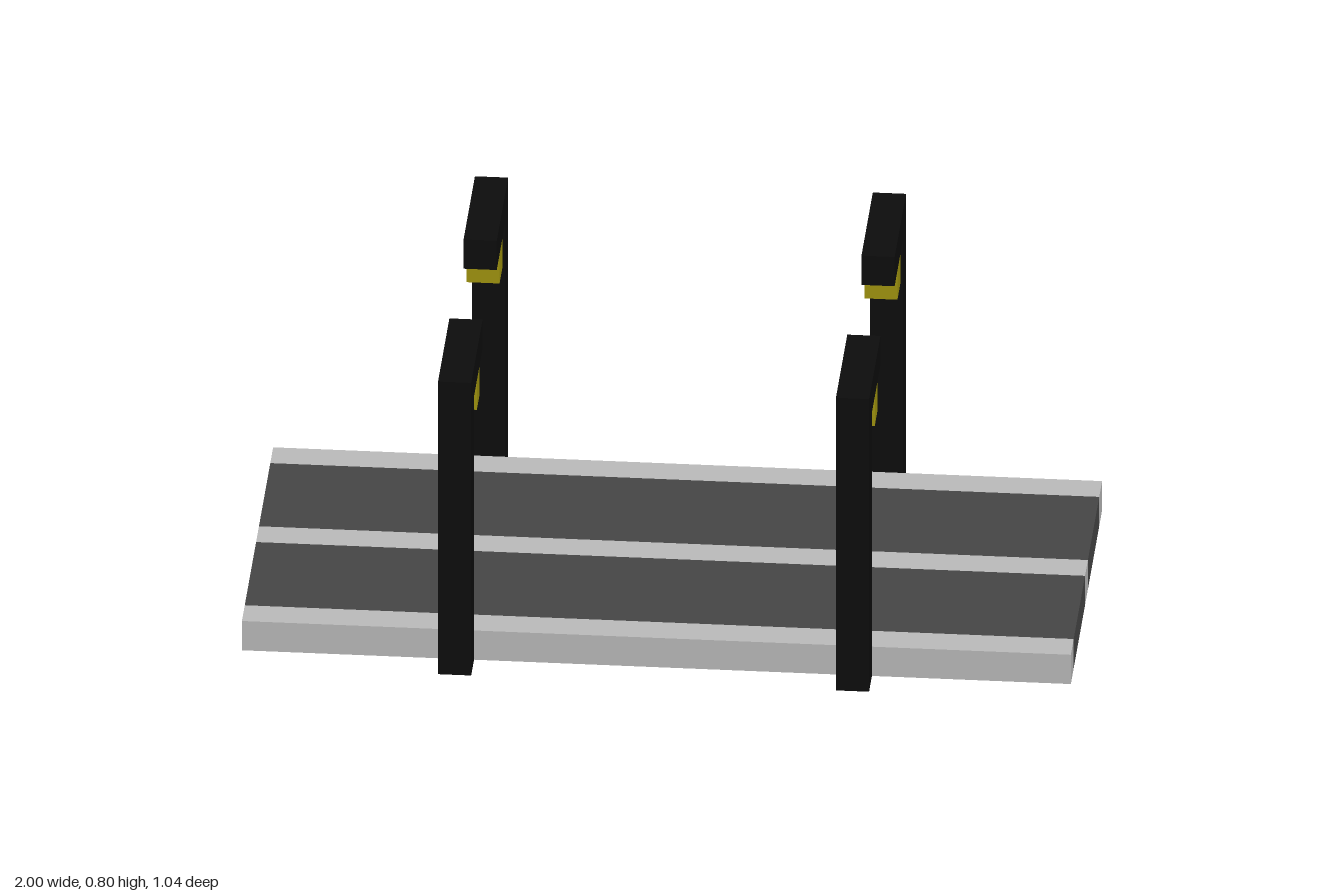
import * as THREE from 'three';

export function createModel() {
  const material = (name, color) => {
    const m = new THREE.MeshStandardMaterial({ color });
    m.name = name;
    return m;
  };
  const asphalt = material('asphalt', 0x464646);
  const concrete = material('pale concrete', 0xbcbcbc);
  const metal = material('black metal', 0x0d0d0d);
  const glow = material('lamp yellow', 0xa3970f);

  // Box given by its lower and upper corners
  const box = (parent, name, mat, [x0, y0, z0], [x1, y1, z1]) => {
    const mesh = new THREE.Mesh(new THREE.BoxGeometry(x1 - x0, y1 - y0, z1 - z0), mat);
    mesh.position.set((x0 + x1) / 2, (y0 + y1) / 2, (z0 + z1) / 2);
    mesh.name = name;
    parent.add(mesh);
  };

  const model = new THREE.Group();
  model.name = 'roadSection';

  // Road slab: kerbs, two lanes and the centre line, laid side by side
  const road = new THREE.Group();
  road.name = 'road';
  model.add(road);
  const strips = [
    ['backKerb', concrete, -0.44, -0.36],
    ['backLane', asphalt, -0.36, -0.04],
    ['centreLine', concrete, -0.04, 0.04],
    ['frontLane', asphalt, 0.04, 0.36],
    ['frontKerb', concrete, 0.36, 0.44],
  ];
  for (const [name, mat, z0, z1] of strips) {
    box(road, name, mat, [-1, 0, z0], [1, 0.08, z1]);
  }

  // Street lights: one pair on each side, arms reaching over the road
  for (const side of [1, -1]) {
    for (const x of [-0.48, 0.48]) {
      const light = new THREE.Group();
      light.name = `${side > 0 ? 'front' : 'back'}${x > 0 ? 'Left' : 'Right'}StreetLight`;
      light.position.x = x;
      light.rotation.y = side > 0 ? 0 : Math.PI;
      box(light, 'post', metal, [-0.04, 0, 0.44], [0.04, 0.8, 0.52]);
      box(light, 'arm', metal, [-0.04, 0.72, 0.2], [0.04, 0.8, 0.44]);
      box(light, 'lamp', glow, [-0.04, 0.64, 0.28], [0.04, 0.72, 0.36]);
      model.add(light);
    }
  }

  return model;
}
